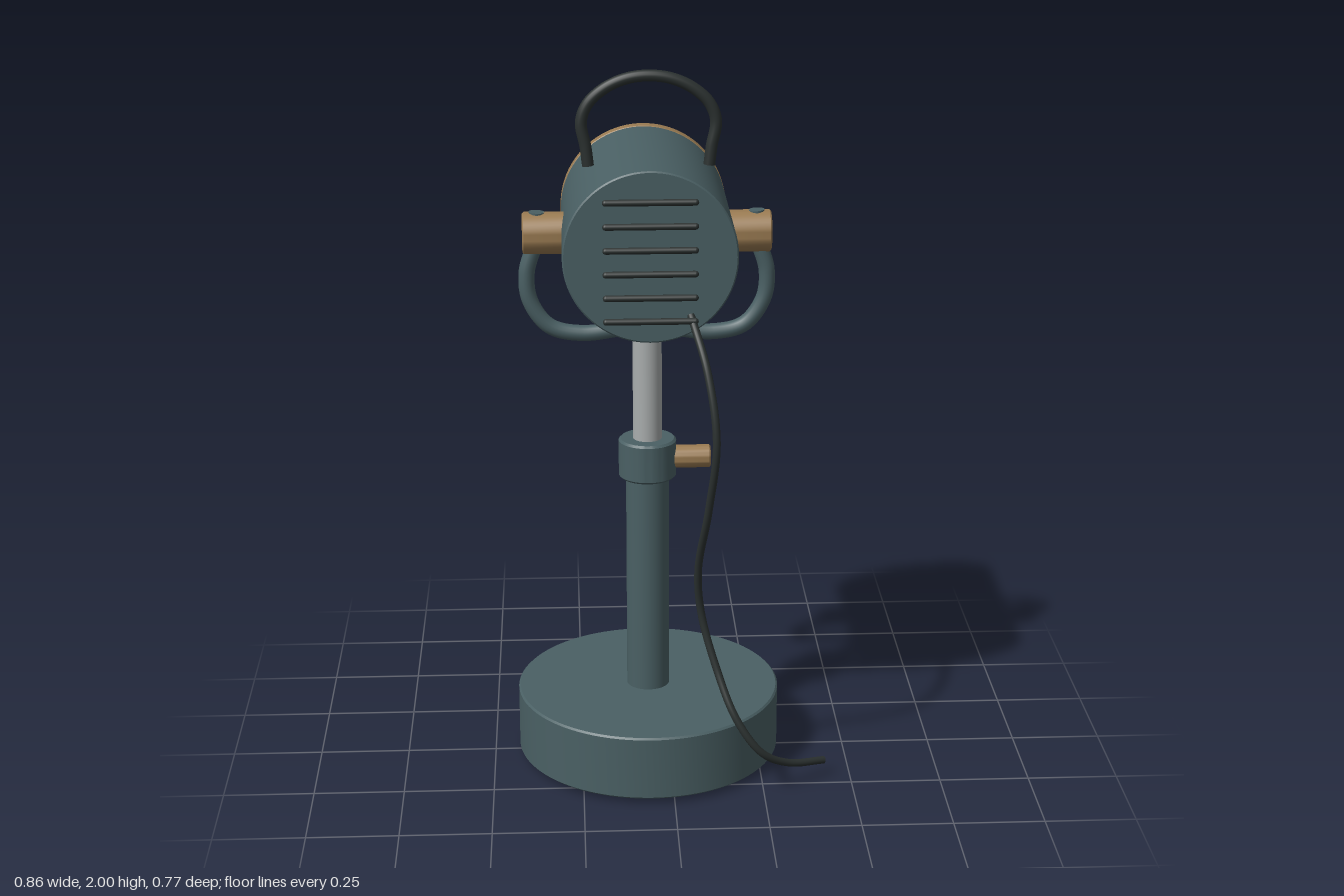
import * as THREE from 'three';
import { toCreasedNormals } from 'three/addons/utils/BufferGeometryUtils.js';

const CX = -0.06, CZ = -0.015, HEAD_Y = 1.53;

function makeMaterial(name, color) {
  const m = new THREE.MeshStandardMaterial({ color });
  m.name = name;
  return m;
}

// Cylinder along y from y0 to y1 with small bevelled rims
function bevelled(r, y0, y1, b = 0.006, seg = 64) {
  const pts = [[0, y0], [r - b, y0], [r, y0 + b], [r, y1 - b], [r - b, y1], [0, y1]];
  const g = new THREE.LatheGeometry(pts.map(([x, y]) => new THREE.Vector2(x, y)), seg);
  return toCreasedNormals(g, 0.5);
}

export function createModel() {
  const model = new THREE.Group();
  model.name = 'spotlightTableLamp';

  const teal = makeMaterial('teal paint', 0x4a6064);
  const brass = makeMaterial('brass', 0x9a7b52);
  const steel = makeMaterial('steel', 0xa9adad);
  const dark = makeMaterial('black rubber', 0x2b3130);
  const glass = makeMaterial('frosted glass', 0xc3cec8);

  function add(name, geometry, material, x = 0, y = 0, z = 0, parent = model) {
    const mesh = new THREE.Mesh(geometry, material);
    mesh.name = name;
    mesh.position.set(x, y, z);
    parent.add(mesh);
    return mesh;
  }

  // Smooth tube through points, closed with a flat disc at each end
  function addTube(name, points, r, material, segments) {
    const group = new THREE.Group();
    group.name = name;
    model.add(group);
    const curve = new THREE.CatmullRomCurve3(points.map(p => new THREE.Vector3(...p)));
    add(name + 'Tube', new THREE.TubeGeometry(curve, segments, r, 16), material, 0, 0, 0, group);
    for (const t of [0, 1]) {
      const p = curve.getPointAt(t);
      const dir = curve.getTangentAt(t).multiplyScalar(t ? 1 : -1);
      const cap = add(name + 'End', new THREE.CircleGeometry(r, 16), material, p.x, p.y, p.z, group);
      cap.quaternion.setFromUnitVectors(new THREE.Vector3(0, 0, 1), dir);
    }
  }

  // Mirrors a half path, given as [offset, y] from the outside in, across the lamp axis
  function mirrored(half, z) {
    const left = half.map(([d, y]) => [CX - d, y, z]);
    const right = half.slice(0, -1).reverse().map(([d, y]) => [CX + d, y, z]);
    return left.concat(right);
  }

  // Base and rubber feet
  add('base', bevelled(0.37, 0.015, 0.2, 0.005, 96), teal, CX, 0, CZ);
  for (const sx of [-1, 1]) for (const sz of [-1, 1]) {
    const foot = add('foot', new THREE.CylinderGeometry(0.035, 0.035, 0.05, 20), dark,
      CX + sx * 0.23, 0.035, CZ + sz * 0.155);
    foot.rotation.z = Math.PI / 2;
  }

  // Telescopic stand
  add('lowerPole', new THREE.CylinderGeometry(0.06, 0.06, 0.64, 40), teal, CX, 0.515, CZ);
  add('collar', bevelled(0.08, 0.83, 0.942), teal, CX, 0, CZ);
  add('upperPole', new THREE.CylinderGeometry(0.04, 0.04, 0.36, 40), steel, CX, 1.11, CZ);
  const knob = add('clampKnob', bevelled(0.032, -0.06, 0.06, 0.004, 32), brass, 0.055, 0.885, CZ);
  knob.rotation.z = -Math.PI / 2;

  // Yoke carrying the head, with a pivot knob on either side
  addTube('yoke', mirrored([[0.295, 1.588], [0.3, 1.51], [0.325, 1.42], [0.317, 1.34],
    [0.265, 1.268], [0.18, 1.247], [0.08, 1.258], [0, 1.275]], CZ), 0.022, teal, 120);
  for (const s of [-1, 1]) {
    const pivot = add('pivotKnob', bevelled(0.057, 0.215, 0.335, 0.004, 40), brass, CX, HEAD_Y, CZ);
    pivot.rotation.z = -s * Math.PI / 2;
  }

  // Lamp head: local y runs along -z towards the lens
  const head = new THREE.Group();
  head.name = 'head';
  head.position.set(CX, HEAD_Y, 0);
  head.rotation.x = -Math.PI / 2;
  model.add(head);
  add('housing', bevelled(0.23, -0.255, 0.282, 0.004, 96), teal, 0, 0, 0, head);
  add('lensRing', bevelled(0.231, 0.28, 0.321, 0.004, 96), brass, 0, 0, 0, head);
  add('lens', bevelled(0.19, 0.31, 0.335, 0.006, 96), glass, 0, 0, 0, head);
  for (let i = 0; i < 8; i++) {
    const a = i * Math.PI / 4;
    add('ringScrew', bevelled(0.008, 0.315, 0.334, 0.002, 16), steel,
      Math.cos(a) * 0.21, 0, Math.sin(a) * 0.21, head);
  }

  // Vent bars on the closed end
  for (let i = 0; i < 6; i++) {
    const bar = add('ventBar', new THREE.CapsuleGeometry(0.009, 0.232, 6, 12), dark,
      CX, 1.68 - i * 0.0637, 0.264);
    bar.rotation.z = Math.PI / 2;
  }

  // Carrying handle
  addTube('handle', mirrored([[0.158, 1.75], [0.164, 1.8], [0.175, 1.865], [0.158, 1.912],
    [0.115, 1.952], [0.06, 1.977], [0, 1.985]], 0.14), 0.0155, dark, 100);

  // Power cable
  addTube('cable', [[0.045, 1.375, 0.25], [0.085, 1.24, 0.335], [0.107, 1.065, 0.372],
    [0.09, 0.855, 0.328], [0.067, 0.65, 0.25], [0.078, 0.51, 0.223], [0.118, 0.36, 0.25],
    [0.17, 0.23, 0.302], [0.24, 0.13, 0.312], [0.32, 0.075, 0.27], [0.425, 0.048, 0.205]],
    0.0105, dark, 160);

  return model;
}
